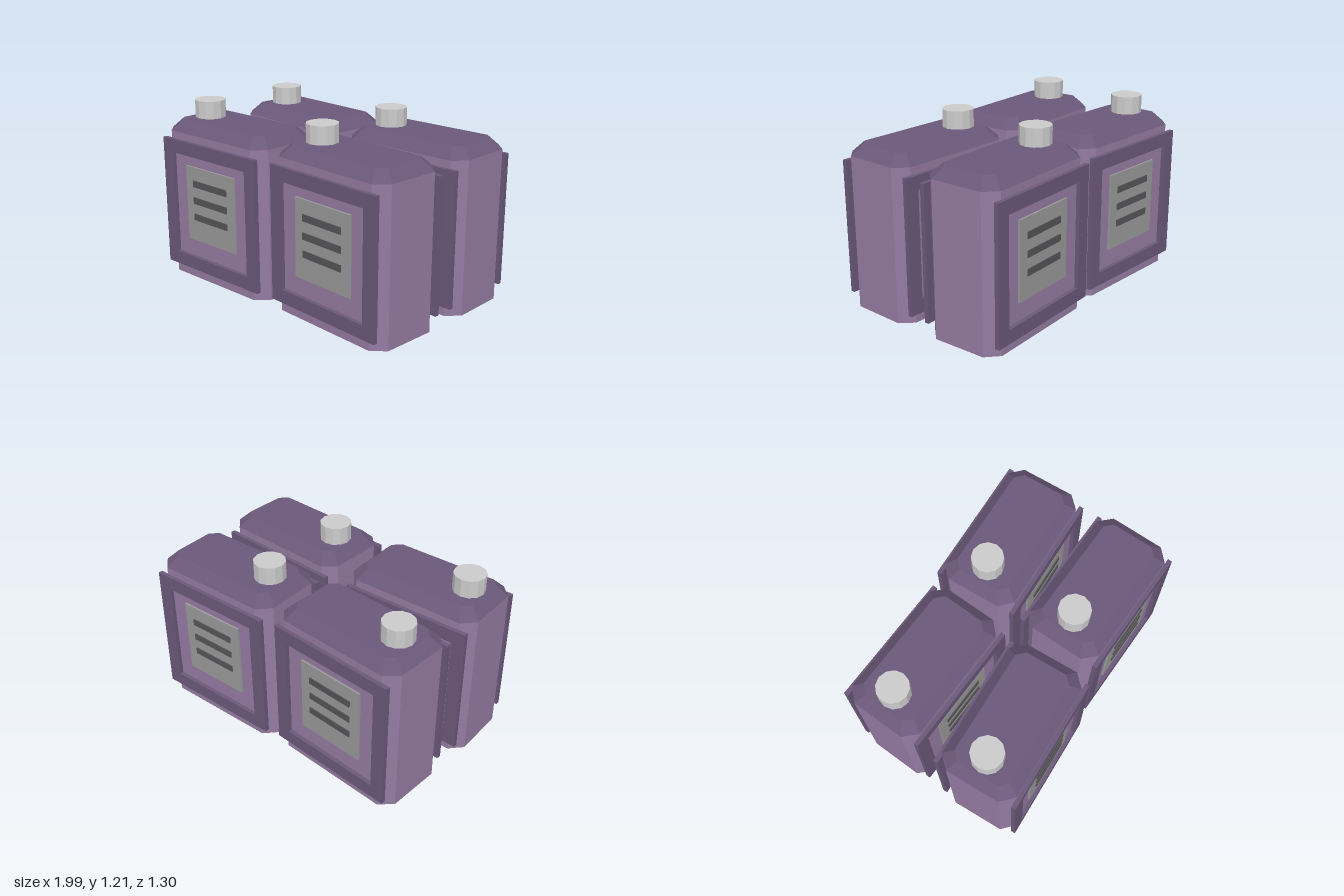
import * as THREE from 'three';
import { ConvexGeometry } from 'three/addons/geometries/ConvexGeometry.js';

const W = 0.47, D = 0.262; // half width and half depth of a canister body

const material = (color) => new THREE.MeshStandardMaterial({ color, flatShading: true });
const shellMat = material(0x957ba3);
const trimMat = material(0x6b587a);
const panelMat = material(0x999999);
const slotMat = material(0x555558);
const capMat = material(0xcccccc);

// Rectangle with cut corners, at height y
function octagon(w, d, cut, y) {
  return [
    [w, d - cut], [w - cut, d], [cut - w, d], [-w, d - cut],
    [-w, cut - d], [cut - w, -d], [w - cut, -d], [w, cut - d],
  ].map(([x, z]) => new THREE.Vector3(x, y, z));
}

// Solid between two cut-corner outlines
const prism = (lower, upper) => new ConvexGeometry([...lower, ...upper]);

function rectangle(Type, w, h) {
  return new Type([[-w, -h], [w, -h], [w, h], [-w, h]].map(([x, y]) => new THREE.Vector2(x / 2, y / 2)));
}

function frameGeometry() {
  const shape = rectangle(THREE.Shape, 0.9, 0.9);
  shape.holes.push(rectangle(THREE.Path, 0.71, 0.715));
  return new THREE.ExtrudeGeometry(shape, { depth: 0.03, bevelEnabled: false });
}

const bodyGeo = prism(octagon(W, D, 0.08, 0), octagon(W, D, 0.08, 1.02));
const lidGeo = prism(octagon(W, D, 0.08, 1.02), octagon(W - 0.07, D - 0.07, 0.052, 1.09));
const capGeo = new THREE.CylinderGeometry(0.105, 0.105, 0.12, 12);
const frameGeo = frameGeometry();
const panelGeo = new THREE.BoxGeometry(0.475, 0.52, 0.02);
const slotGeo = new THREE.BoxGeometry(0.33, 0.045, 0.02);

function add(parent, name, geometry, mat, x = 0, y = 0, z = 0) {
  const mesh = new THREE.Mesh(geometry, mat);
  mesh.name = name;
  mesh.position.set(x, y, z);
  parent.add(mesh);
}

// Framed vent panel for one broad face
function createVent() {
  const vent = new THREE.Group();
  vent.name = 'vent';
  add(vent, 'frame', frameGeo, trimMat, 0, 0.52, D - 0.003);
  add(vent, 'panel', panelGeo, panelMat, 0, 0.545, D + 0.003);
  for (const y of [0.69, 0.572, 0.455]) add(vent, 'slot', slotGeo, slotMat, 0, y, D + 0.01);
  return vent;
}

function createCanister() {
  const canister = new THREE.Group();
  canister.name = 'canister';
  add(canister, 'body', bodyGeo, shellMat);
  add(canister, 'lid', lidGeo, trimMat);
  add(canister, 'cap', capGeo, capMat, -0.285, 1.15, 0);
  const front = createVent();
  const back = createVent();
  back.rotation.y = Math.PI;
  canister.add(front, back);
  return canister;
}

export function createModel() {
  const model = new THREE.Group();
  model.name = 'canisterCluster';
  // Four canisters, each turned slightly: x, z, turn
  const places = [
    [0.52, 0.312, -0.034],
    [-0.52, 0.339, 0.036],
    [-0.496, -0.328, -0.052],
    [0.52, -0.349, 0.03],
  ];
  for (const [x, z, turn] of places) {
    const canister = createCanister();
    canister.position.set(x, 0, z);
    canister.rotation.y = turn;
    model.add(canister);
  }
  return model;
}
